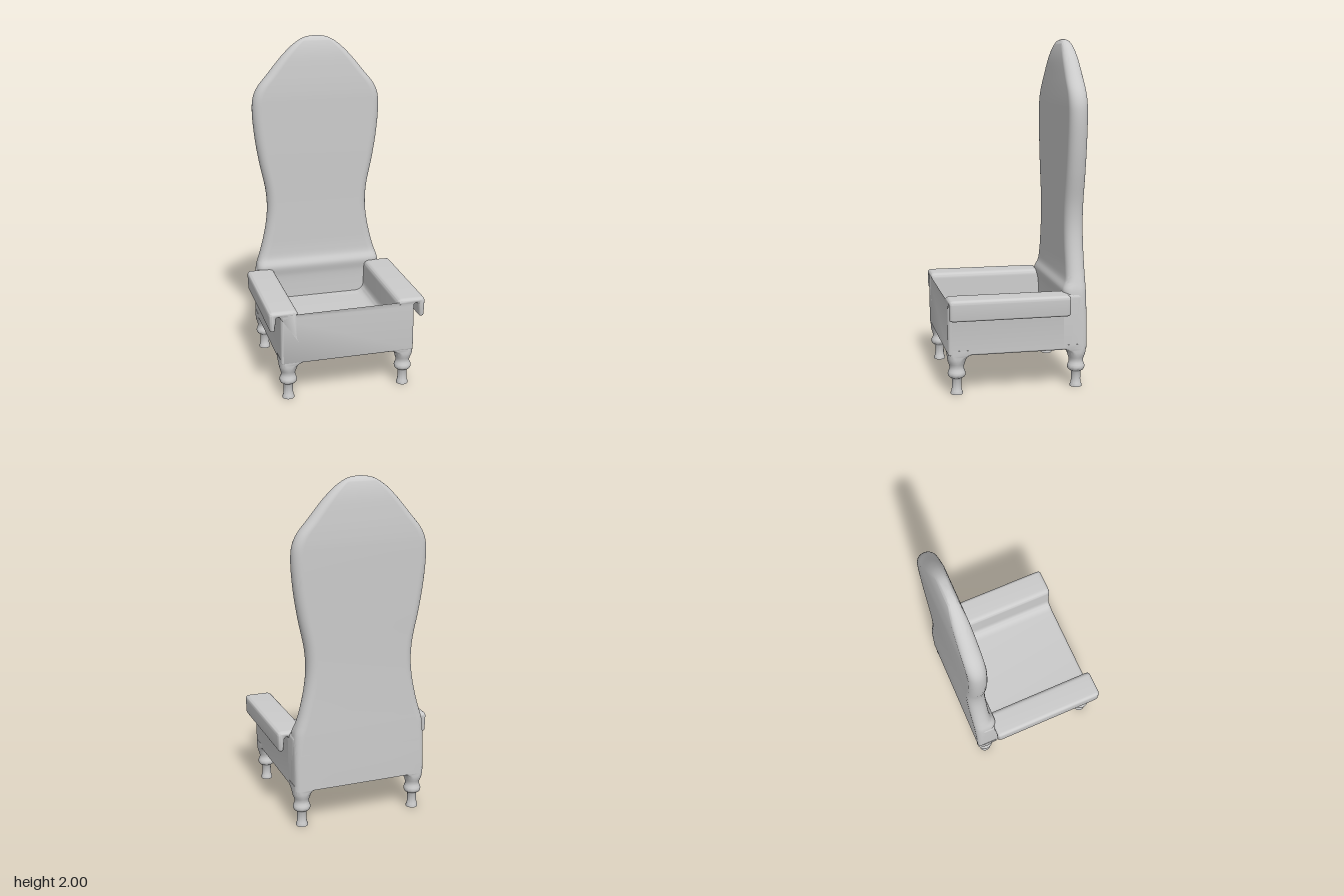
import * as THREE from 'three';
import { toCreasedNormals } from 'three/addons/utils/BufferGeometryUtils.js';

const material = new THREE.MeshStandardMaterial({ color: 0xcccccc });

function part(name, geometry) {
  const mesh = new THREE.Mesh(toCreasedNormals(geometry, 0.9), material);
  mesh.name = name;
  return mesh;
}

// Skin over horizontal rounded rectangles: { x, y, z, hx, hz, r }
function loft(rings, steps = 7) {
  const pos = [], index = [], n = 4 * (steps + 1);
  const closed = [{ ...rings[0], hx: 0, hz: 0, r: 0 }, ...rings, { ...rings.at(-1), hx: 0, hz: 0, r: 0 }];
  for (const { x, y, z, hx, hz, r } of closed) {
    const rad = Math.min(r, hx, hz);
    for (let c = 0; c < 4; c++) {
      const sx = c === 0 || c === 3 ? 1 : -1, sz = c < 2 ? 1 : -1;
      for (let k = 0; k <= steps; k++) {
        const a = (c + k / steps) * Math.PI / 2;
        pos.push(x + sx * (hx - rad) + rad * Math.cos(a), y, z + sz * (hz - rad) + rad * Math.sin(a));
      }
    }
  }
  for (let i = 0; i < closed.length - 1; i++) {
    for (let j = 0; j < n; j++) {
      const a = i * n + j, b = i * n + (j + 1) % n;
      index.push(a, a + n, b, b, a + n, b + n);
    }
  }
  const g = new THREE.BufferGeometry();
  g.setAttribute('position', new THREE.Float32BufferAttribute(pos, 3));
  g.setIndex(index);
  return g;
}

// Closed outline from [x, y, cornerSize]
function roundedShape(points) {
  const shape = new THREE.Shape();
  points.forEach(([x, y, r], i) => {
    const p = new THREE.Vector2(x, y);
    const toward = ([qx, qy]) => new THREE.Vector2(qx, qy).sub(p).setLength(r).add(p);
    const a = toward(points[(i + points.length - 1) % points.length]);
    const b = toward(points[(i + 1) % points.length]);
    if (i) shape.lineTo(a.x, a.y);
    else shape.moveTo(a.x, a.y);
    shape.quadraticCurveTo(x, y, b.x, b.y);
  });
  shape.closePath();
  return shape;
}

// Extrude a mirrored half outline from z0 to z1 with soft ends
function softExtrude(half, z0, z1) {
  const mirrored = half.map(([x, y, r]) => [-x, y, r]).reverse();
  const size = 0.014, thick = 0.026;
  const g = new THREE.ExtrudeGeometry(roundedShape([...half, ...mirrored]), {
    depth: z1 - z0 - 2 * thick, curveSegments: 8,
    bevelSize: size, bevelOffset: -size, bevelThickness: thick, bevelSegments: 5,
  });
  return g.translate(0, 0, z0 + thick);
}

function backGeometry() {
  // half width, height, back half thickness, front z
  const outline = [
    [0.40, 0.23, -0.285], [0.40, 0.40, -0.285], [0.398, 0.50, -0.28], [0.392, 0.57, -0.268],
    [0.378, 0.62, -0.287], [0.36, 0.68, -0.292], [0.33, 0.81, -0.292], [0.316, 0.93, -0.292],
    [0.322, 1.05, -0.292], [0.36, 1.24, -0.293], [0.384, 1.395, -0.294], [0.396, 1.555, -0.295],
    [0.389, 1.635, -0.295], [0.364, 1.695, -0.296], [0.30, 1.775, -0.298], [0.20, 1.892, -0.305],
    [0.13, 1.955, -0.316], [0.07, 1.988, -0.328], [0.0, 2.0, -0.35],
  ];
  const curve = new THREE.CatmullRomCurve3(outline.map((p) => new THREE.Vector3(...p)), false, 'centripetal');
  const rings = curve.getPoints(110).map(({ x, y, z: front }) => {
    const rear = y < 1.6 ? -0.405 : Math.min(-0.35, -0.7 - Math.min(front, -0.295));
    const soft = 0.03 + 0.022 * THREE.MathUtils.smoothstep(y, 0.3, 0.65);
    return { x: 0, y, z: (front + rear) / 2, hx: Math.max(x, 0), hz: Math.max((front - rear) / 2, 0), r: soft };
  });
  return loft(rings);
}

function legGeometry(sx, sz) {
  const rings = [];
  // turned foot and bulb: [y, radius]
  const turned = [
    [0, 0.035], [0.008, 0.035], [0.02, 0.03], [0.04, 0.027], [0.085, 0.027], [0.095, 0.033],
    [0.1, 0.043], [0.108, 0.049], [0.12, 0.051], [0.132, 0.048], [0.145, 0.042], [0.16, 0.041],
  ];
  for (const [y, r] of turned) rings.push({ x: sx * 0.35, y, z: sz * 0.35, hx: r, hz: r, r });
  // flare into the seat frame: [y, inner edge, outer edge, corner radius]
  const flare = [
    [0.175, 0.305, 0.395, 0.043], [0.19, 0.301, 0.4, 0.043], [0.205, 0.297, 0.402, 0.04],
    [0.217, 0.289, 0.402, 0.036], [0.226, 0.277, 0.402, 0.032], [0.233, 0.26, 0.402, 0.03],
    [0.26, 0.26, 0.402, 0.03],
  ];
  for (const [y, inner, outer, r] of flare) {
    const mid = (inner + outer) / 2, h = (outer - inner) / 2;
    rings.push({ x: sx * mid, y, z: sz * mid, hx: h, hz: h, r });
  }
  return loft(rings);
}

export function createModel() {
  const chair = new THREE.Group();
  chair.name = 'highBackArmchair';

  // Seat and arms share one U outline; the arms overhang with a hanging lip
  const inside = [[0.295, 0.56, 0.035], [0.295, 0.355, 0.06]];
  const lip = [
    [0.40, 0.525, 0.012], [0.423, 0.525, 0.01], [0.432, 0.44, 0.012],
    [0.461, 0.44, 0.016], [0.466, 0.56, 0.025],
  ];
  chair.add(part('seatAndArms', softExtrude([[0.40, 0.23, 0.01], ...lip, ...inside], -0.29, 0.405)));

  // Plain continuation of the frame into the backrest
  chair.add(part('rearFrame', softExtrude([[0.40, 0.23, 0.01], [0.40, 0.558, 0.03], ...inside], -0.37, -0.2)));

  chair.add(part('backrest', backGeometry()));

  for (const sx of [1, -1]) {
    for (const sz of [1, -1]) {
      const name = (sz > 0 ? 'front' : 'back') + (sx > 0 ? 'Left' : 'Right') + 'Leg';
      chair.add(part(name, legGeometry(sx, sz)));
    }
  }
  return chair;
}
